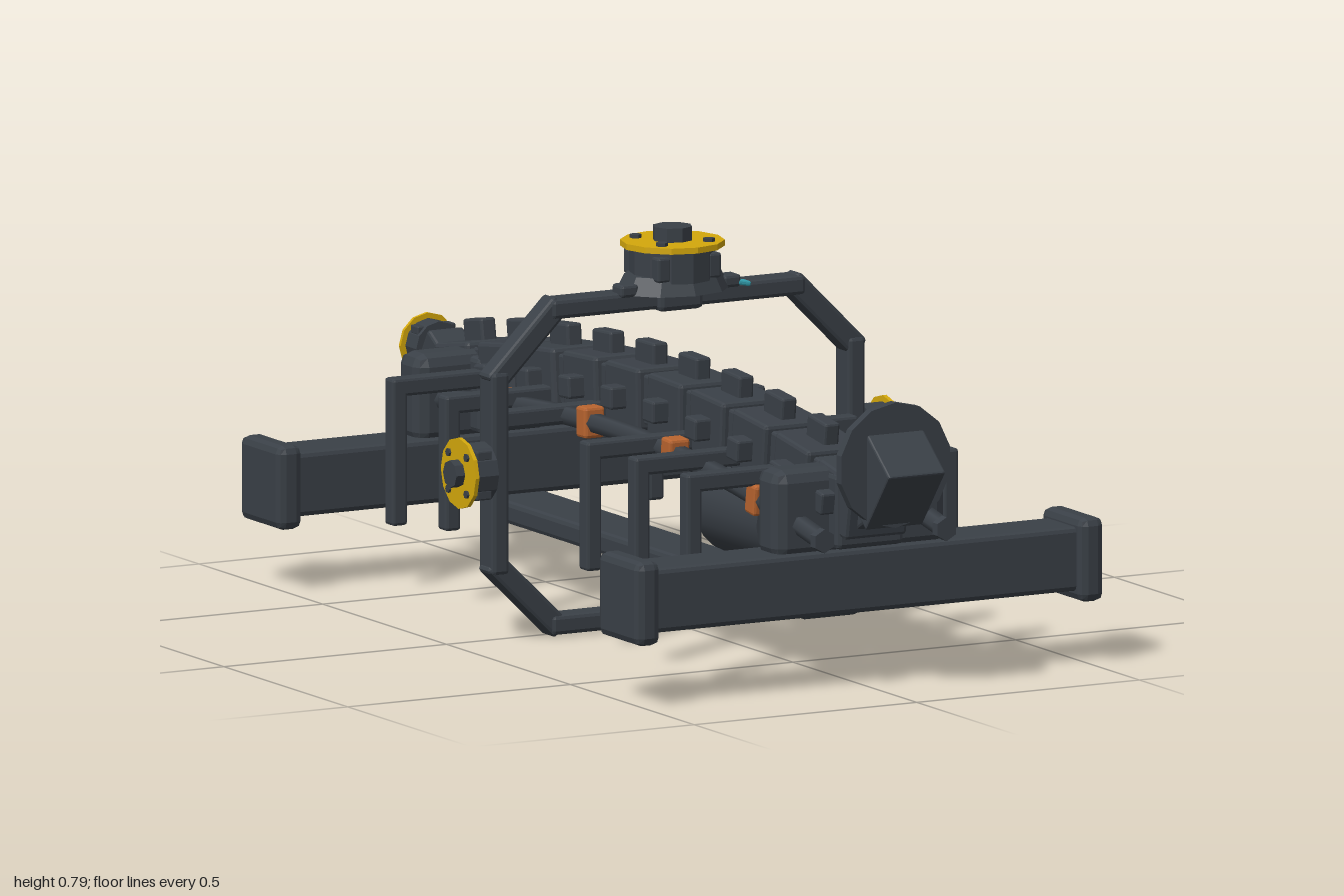
import * as THREE from 'three';
import { RoundedBoxGeometry } from 'three/addons/geometries/RoundedBoxGeometry.js';

const mat = (name, color) => {
  const m = new THREE.MeshStandardMaterial({ color });
  m.name = name;
  return m;
};

export function createModel() {
  const dark = mat('dark grey metal', 0x3a4047);
  const yellow = mat('yellow flange', 0xd4a80c);
  const orange = mat('copper clamp', 0xb8642f);
  const cyan = mat('cyan glow', 0x36a5b5);
  const model = new THREE.Group();
  model.name = 'spaceTruss';

  const add = (parent, name, geo, material, x = 0, y = 0, z = 0) => {
    const mesh = new THREE.Mesh(geo, material);
    mesh.name = name;
    mesh.position.set(x, y, z);
    parent.add(mesh);
    return mesh;
  };
  // Box with small flat chamfers
  const block = (w, h, d, c = 0.008) => {
    const g = new RoundedBoxGeometry(w, h, d, 1, c);
    g.computeVertexNormals();
    return g;
  };
  const drum = (r1, r2, h, n) => {
    const g = new THREE.CylinderGeometry(r1, r2, h, n).toNonIndexed();
    g.computeVertexNormals();
    return g;
  };
  // Height of the arched spine and its slope at z
  const spineY = z => 0.447 - 0.118 * z * z;
  const spineTilt = z => Math.atan(0.236 * z);

  // Spine: ten modules with studs, joined by a narrower core
  for (let i = 0; i < 10; i++) {
    const z = 0.78 - i * 0.17;
    const module = new THREE.Group();
    module.name = 'spineModule';
    module.position.set(0, spineY(z), z);
    module.rotation.x = spineTilt(z);
    add(module, 'moduleBody', block(0.14, 0.125, 0.135), dark);
    add(module, 'topStud', block(0.034, 0.05, 0.075, 0.005), dark, 0, 0.08, 0);
    add(module, 'sideStuds', block(0.21, 0.045, 0.045, 0.005), dark);
    if (i < 9) add(module, 'moduleJoint', block(0.11, 0.1, 0.08, 0.005), dark, 0, 0, -0.085);
    model.add(module);
  }

  // Side rails following the arch, with clamps
  for (const s of [1, -1]) {
    const pts = [];
    for (let i = 0; i <= 10; i++) {
      const z = 0.865 - i * 0.17;
      pts.push(new THREE.Vector3(s * 0.137, spineY(z) - 0.045, z));
    }
    const curve = new THREE.CatmullRomCurve3(pts);
    add(model, 'sideRail', new THREE.TubeGeometry(curve, 20, 0.02, 6), dark);
    for (const k of [0, 10]) {
      const end = add(model, 'railEnd', drum(0.024, 0.024, 0.02, 6), dark, pts[k].x, pts[k].y, pts[k].z);
      end.rotation.x = Math.PI / 2;
    }
    for (let i = 0; i < 5; i++) {
      const z = 0.612 - i * 0.342;
      const clamp = add(model, 'railClamp', block(0.046, 0.062, 0.04, 0.006), orange,
        s * 0.137, spineY(z) - 0.045, z);
      clamp.rotation.x = spineTilt(z);
    }
  }

  // Hanging ribs
  for (const z of [0.605, 0.395, 0.2, -0.175, -0.37, -0.585]) {
    const bottom = spineY(z) - 0.28;
    add(model, 'ribBar', block(0.61, 0.036, 0.036, 0.006), dark, 0, 0.402, z);
    for (const s of [1, -1])
      add(model, 'ribLeg', block(0.034, 0.415 - bottom, 0.036, 0.006), dark,
        s * 0.288, (0.415 + bottom) / 2, z);
  }

  // Keel under the spine
  add(model, 'keel', block(0.13, 0.046, 1.27, 0.01), dark, 0, 0.137, 0.02);

  // Cross beams with end caps and saddles
  for (const z of [0.735, -0.712]) {
    add(model, 'crossBeam', block(0.98, 0.128, 0.125, 0.01), dark, 0, 0.211, z);
    for (const s of [1, -1])
      add(model, 'beamCap', block(0.054, 0.168, 0.165, 0.016), dark, s * 0.498, 0.21, z);
    add(model, 'saddle', block(0.385, 0.18, 0.09, 0.025), dark, 0, 0.35, z);
    add(model, 'saddleCore', block(0.15, 0.15, 0.16, 0.01), dark, 0, 0.355, z);
  }

  // Octagonal hoop
  const hoop = new THREE.Group();
  hoop.name = 'hoop';
  hoop.position.z = 0.013;
  model.add(hoop);
  const corners = [[0.27, 0.654], [0.4, 0.525], [0.4, 0.15], [0.27, 0.024],
    [-0.27, 0.024], [-0.4, 0.15], [-0.4, 0.525], [-0.27, 0.654]];
  corners.forEach(([x, y], i) => {
    const [u, v] = corners[(i + 1) % 8];
    const diagonal = i % 2 === 0;
    const len = Math.hypot(u - x, v - y) + 0.03;
    const bar = add(hoop, 'hoopBar', block(len, diagonal ? 0.046 : 0.039, diagonal ? 0.05 : 0.058, 0.008),
      dark, (x + u) / 2, (y + v) / 2, 0);
    bar.rotation.z = Math.atan2(v - y, u - x);
  });

  // Docking port built along +y, facing outwards
  const port = (name, scale) => {
    const g = new THREE.Group();
    g.name = name;
    g.scale.setScalar(scale);
    add(g, 'portBody', drum(0.085, 0.085, 0.075, 12), dark, 0, 0.05, 0);
    add(g, 'portFlange', drum(0.103, 0.103, 0.012, 12), yellow, 0, 0.092, 0);
    add(g, 'portHub', drum(0.04, 0.04, 0.04, 8), dark, 0, 0.106, 0);
    for (let i = 0; i < 4; i++) {
      const a = Math.PI / 4 + i * Math.PI / 2;
      add(g, 'portBolt', drum(0.012, 0.012, 0.012, 6), dark, 0.075 * Math.cos(a), 0.099, 0.075 * Math.sin(a));
      add(g, 'portLug', block(0.03, 0.05, 0.03, 0.005), dark, 0.08 * Math.cos(a), 0.052, 0.08 * Math.sin(a));
    }
    model.add(g);
    return g;
  };
  port('topPort', 1).position.set(0, 0.668, 0.013);
  for (const s of [1, -1]) {
    const p = port('sidePort', 0.69);
    p.position.set(s * 0.413, 0.342, 0.013);
    p.rotation.z = -s * Math.PI / 2;
  }
  const rear = port('rearPort', 0.6);
  rear.position.set(0, 0.4, -0.922);
  rear.rotation.x = -Math.PI / 2;

  // Mount below the top port, with a small lamp beside it
  add(model, 'topMount', drum(0.1, 0.118, 0.035, 10), dark, 0, 0.685, 0.013).scale.z = 0.8;
  add(model, 'mountNeck', block(0.1, 0.05, 0.08, 0.01), dark, 0, 0.655, 0.013);
  for (const s of [1, -1])
    add(model, 'mountKnob', block(0.04, 0.025, 0.04, 0.006), dark, s * 0.115, 0.678, 0.03);
  add(model, 'lamp', block(0.03, 0.01, 0.03, 0.003), cyan, 0.142, 0.672, 0.035).rotation.z = -0.2;

  // Rear arm carrying the rear port
  const arm = add(model, 'rearArm', block(0.08, 0.09, 0.15, 0.006), dark, 0, 0.365, -0.865);
  arm.rotation.x = 0.55;

  // Fuel tank slung under the spine
  const tank = add(model, 'tank', new THREE.CylinderGeometry(0.1, 0.1, 0.25, 20), dark, 0, 0.285, 0.407);
  tank.rotation.x = Math.PI / 2;
  const tankEnd = add(model, 'tankEnds', new THREE.CylinderGeometry(0.068, 0.068, 0.282, 20), cyan, 0, 0.285, 0.407);
  tankEnd.rotation.x = Math.PI / 2;

  // Front sensor: tilted head, dish plate and neck
  const head = add(model, 'sensorHead', block(0.128, 0.122, 0.153, 0.004), dark, 0, 0.432, 0.908);
  head.rotation.x = -0.9;
  const dish = add(model, 'dish', drum(0.125, 0.125, 0.02, 14), dark, 0, 0.46, 0.905);
  dish.rotation.x = Math.PI / 2;
  add(model, 'sensorNeck', block(0.09, 0.08, 0.12, 0.006), dark, 0, 0.375, 0.85).rotation.x = -0.5;

  return model;
}
